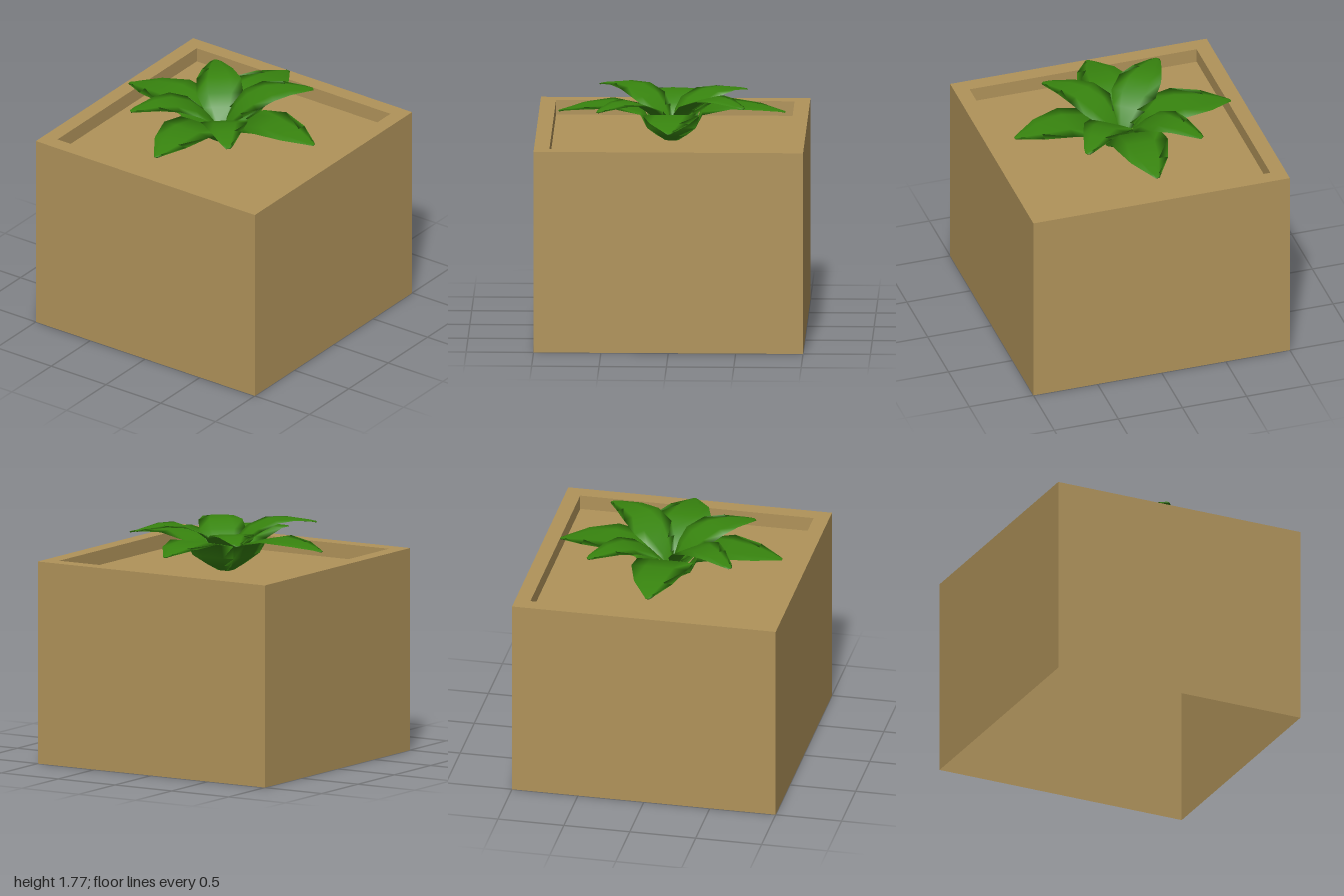
import * as THREE from 'three';

const RIM_Y = 1.52, SOIL_Y = 1.41, INNER = 0.885;

// Square open-bottomed planter: a four-sided lathe with flat faces
function planterGeometry() {
  const profile = [[1, 0], [1, RIM_Y], [INNER, RIM_Y], [INNER, SOIL_Y]]
    .map(([half, y]) => new THREE.Vector2(half * Math.SQRT2, y));
  const geometry = new THREE.LatheGeometry(profile, 4, Math.PI / 4).toNonIndexed();
  geometry.computeVertexNormals();
  return geometry;
}

// Thin lens-shaped leaf along +x; stations are [radius, height, half width]
function leafGeometry(stations, thickness = 0.005) {
  const section = [[1, 0], [0.5, 1], [-0.5, 1], [-1, 0], [-0.5, -1], [0.5, -1]];
  const n = section.length, last = stations.length - 1;
  const positions = [], index = [];
  stations.forEach(([r, y, half], i) => {
    const a = stations[Math.max(i - 1, 0)], b = stations[Math.min(i + 1, last)];
    const normal = new THREE.Vector2(a[1] - b[1], b[0] - a[0]).normalize();
    for (const [side, up] of section) {
      positions.push(r + normal.x * up * thickness, y + normal.y * up * thickness, side * half);
    }
  });
  for (let i = 0; i < last; i++) {
    for (let j = 0; j < n; j++) {
      const a = i * n + j, b = i * n + (j + 1) % n, c = a + n, d = b + n;
      index.push(a, c, b, b, c, d);
    }
  }
  // Blunt tip
  const tip = last * n;
  for (let j = 1; j < n - 1; j++) index.push(tip, tip + j + 1, tip + j);
  const geometry = new THREE.BufferGeometry();
  geometry.setAttribute('position', new THREE.Float32BufferAttribute(positions, 3));
  geometry.setIndex(index);
  geometry.computeVertexNormals();
  return geometry;
}

export function createModel() {
  const model = new THREE.Group();
  model.name = 'pottedPlant';

  const clay = new THREE.MeshStandardMaterial({ color: 0xb0935a, side: THREE.DoubleSide });
  clay.name = 'sandyBrown';
  const green = new THREE.MeshStandardMaterial({ color: 0x38850f, side: THREE.DoubleSide });
  green.name = 'leafGreen';

  const planter = new THREE.Mesh(planterGeometry(), clay);
  planter.name = 'planter';
  const soil = new THREE.Mesh(new THREE.PlaneGeometry(2 * INNER, 2 * INNER), clay);
  soil.name = 'soil';
  soil.rotation.x = -Math.PI / 2;
  soil.position.y = SOIL_Y;
  model.add(planter, soil);

  const plant = new THREE.Group();
  plant.name = 'plant';
  plant.position.z = -0.02;
  model.add(plant);

  const addLeaf = (geometry, name, angle, lift = 0) => {
    const leaf = new THREE.Mesh(geometry, green);
    leaf.name = name;
    leaf.rotation.y = angle;
    leaf.position.y = lift;
    plant.add(leaf);
  };

  // Lower leaves along the axes, drooping at the tips
  const lower = leafGeometry([
    [0.04, 1.41, 0.05], [0.11, 1.46, 0.1], [0.18, 1.53, 0.18], [0.23, 1.635, 0.21],
    [0.44, 1.68, 0.21], [0.65, 1.66, 0.145], [0.8, 1.63, 0.045], [0.84, 1.62, 0.018],
  ]);
  for (let i = 0; i < 4; i++) addLeaf(lower, 'lowerLeaf', i * Math.PI / 2);

  // Upper diagonal leaves, one opposite pair slightly above the other
  const upper = leafGeometry([
    [0.01, 1.44, 0.03], [0.06, 1.56, 0.07], [0.13, 1.64, 0.13], [0.22, 1.71, 0.175],
    [0.36, 1.765, 0.165], [0.5, 1.77, 0.115], [0.66, 1.745, 0.045], [0.7, 1.735, 0.02],
  ]);
  const tilt = 0.69;
  [tilt, Math.PI - tilt, Math.PI + tilt, -tilt].forEach((angle, i) =>
    addLeaf(upper, 'upperLeaf', angle, i % 2 ? 0 : -0.035));

  return model;
}
